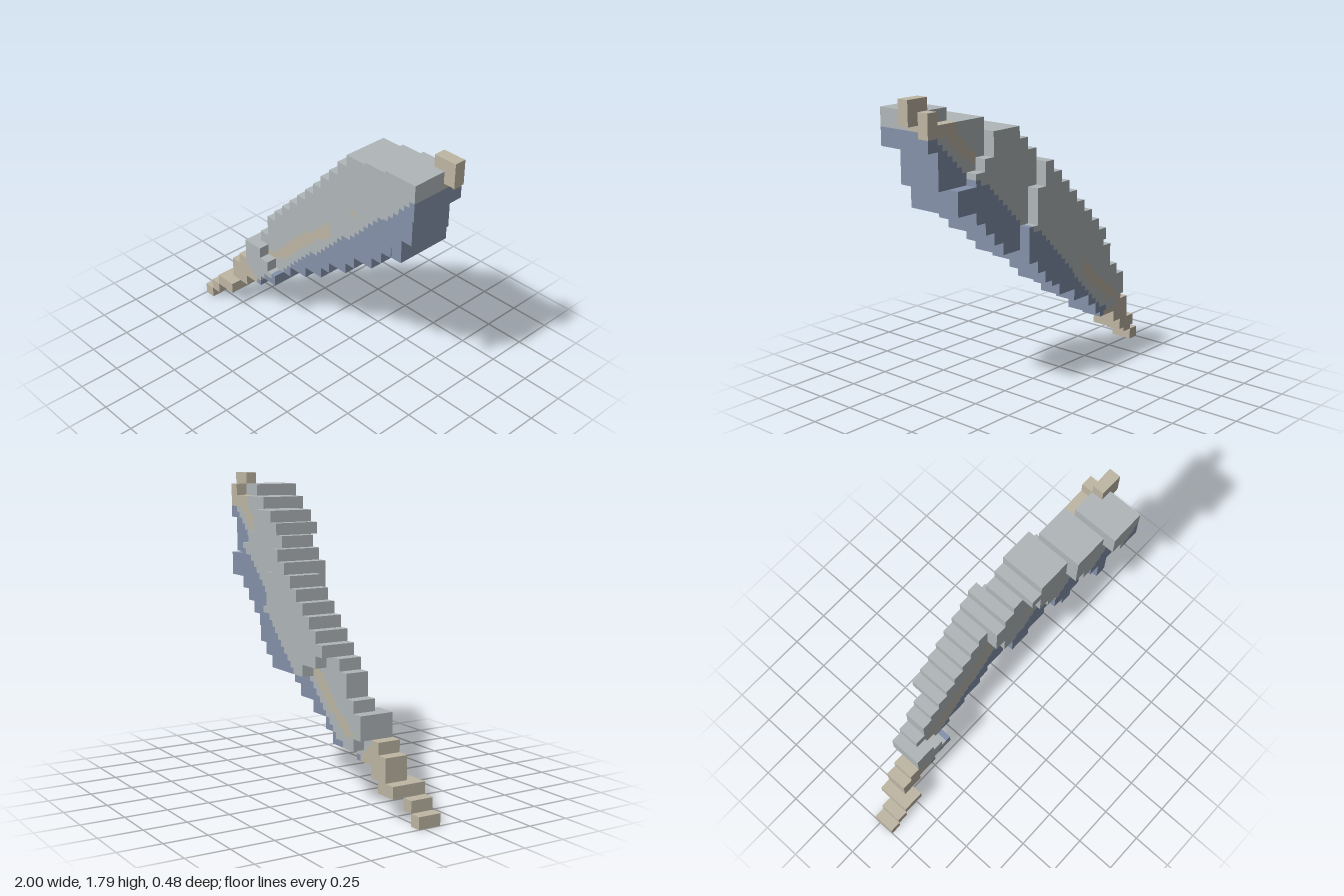
import * as THREE from 'three';
import { mergeGeometries } from 'three/addons/utils/BufferGeometryUtils.js';

const U = 2 / 29; // size of one block

// Feather silhouette: first and last column of every row, bottom to top
const START = [0, 1, 2, 3, 3, 4, 5, 5, 6, 7, 7, 8, 9, 10, 11, 12, 13, 14, 15, 16, 17, 18, 19, 22, 25, 27];
const END = [1, 2, 4, 5, 7, 9, 10, 12, 14, 15, 17, 18, 19, 21, 22, 23, 24, 26, 26, 27, 27, 27, 28, 28, 28, 29];

// Depth layers from back to front: row range, then rows that differ from the silhouette
const LAYERS = [
  { rows: [[10, 19]], from: { 10: 12, 11: 10 }, to: { 13: 19, 14: 19, 15: 18, 16: 18, 17: 18, 18: 17, 19: 17 } },
  { rows: [[5, 22]], from: { 5: 6 }, to: { 19: 24, 20: 23, 21: 22, 22: 22 } },
  { rows: [[2, 24]], from: { 24: 27 }, to: {} },
  { rows: [[0, 7], [12, 25]], from: { 12: 17, 13: 17, 14: 16, 15: 16, 16: 15, 17: 15 }, to: { 6: 8, 7: 7, 24: 29 } },
  { rows: [[0, 2], [15, 24]], from: { 15: 22, 16: 21, 17: 21, 18: 20, 19: 19, 20: 19 }, to: {} },
  { rows: [[17, 24]], from: { 17: 25, 18: 25, 19: 24, 20: 23, 21: 22, 22: 22 }, to: {} },
  { rows: [[22, 24]], from: { 22: 26, 23: 25 }, to: {} },
];

// Rows of each layer where the pale shaft shows through the vane
const SHAFT_ROWS = { 1: [6, 11], 2: [7, 24], 3: [17.2, 18.2] };

function partAt(col, row, layer) {
  const edge = (row + 1.7) / 0.9; // where the upper vane meets the lower vane
  if (col + row < 10.7) return 'shaft'; // bare tip
  if (layer === 2 && row > 23 && col > 25) return 'shaft';
  if (layer === 3 && row > 23.5 && col > 27) return 'shaft'; // end knob
  const span = SHAFT_ROWS[layer];
  if (span && row > span[0] && row < span[1] && col > edge - 2.7 && col < edge - 1.2) return 'shaft';
  return col < edge ? 'upperVane' : 'lowerVane';
}

export function createModel() {
  const boxes = { shaft: [], upperVane: [], lowerVane: [] };

  // One box of a half-row, from column a to column b
  function addRun(part, a, b, row, layer) {
    const g = new THREE.BoxGeometry((b - a) * U, U / 2, U);
    g.translate(((a + b) / 2 - 14.5) * U, row * U, (layer - 3) * U);
    boxes[part].push(g);
  }

  LAYERS.forEach((spec, layer) => {
    for (const [low, high] of spec.rows) {
      for (let r = low; r <= high; r++) {
        const a = spec.from[r] ?? START[r];
        const b = spec.to[r] ?? END[r];
        for (const row of [r + 0.25, r + 0.75]) {
          // join neighbouring half-blocks of the same colour
          let begin = a;
          for (let c = a + 0.5; c <= b; c += 0.5) {
            const part = partAt(c - 0.25, row, layer);
            if (c === b || partAt(c + 0.25, row, layer) !== part) {
              addRun(part, begin, c, row, layer);
              begin = c;
            }
          }
        }
      }
    }
  });

  const paint = (name, color) => {
    const m = new THREE.MeshStandardMaterial({ color });
    m.name = name;
    return m;
  };
  const materials = {
    shaft: paint('beige', 0xbfb7a5),
    upperVane: paint('pale grey', 0xb1b8ba),
    lowerVane: paint('slate blue', 0x8592ab),
  };

  const feather = new THREE.Group();
  feather.name = 'feather';
  for (const part of Object.keys(boxes)) {
    const mesh = new THREE.Mesh(mergeGeometries(boxes[part]), materials[part]);
    mesh.name = part;
    feather.add(mesh);
  }
  return feather;
}
